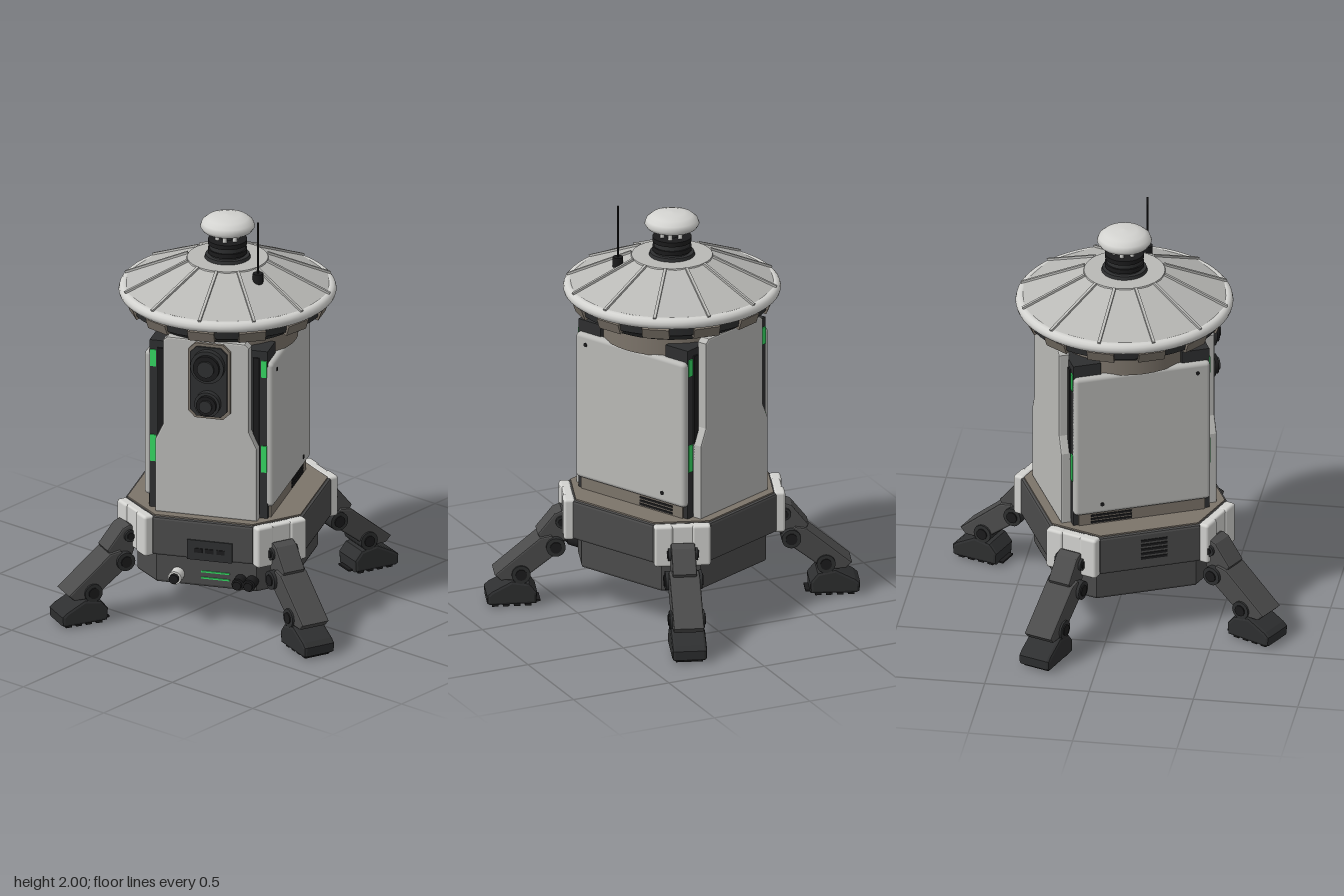
import * as THREE from 'three';
import { RoundedBoxGeometry } from 'three/addons/geometries/RoundedBoxGeometry.js';

const mat = (name, color) => {
  const m = new THREE.MeshStandardMaterial({ color });
  m.name = name;
  return m;
};
const rad = THREE.MathUtils.degToRad;

export function createModel() {
  const shell = mat('shell grey', 0xb9b9b6);
  const trim = mat('light trim', 0xd3d3d0);
  const grey = mat('dark grey', 0x4b4b4b);
  const charcoal = mat('charcoal', 0x2e2f30);
  const black = mat('black', 0x1b1b1c);
  const brown = mat('warm grey', 0x7c746a);
  const green = mat('signal green', 0x35d863);

  const model = new THREE.Group();
  model.name = 'sentryTower';
  const body = new THREE.Group();
  body.name = 'tower';
  body.rotation.y = rad(25);
  body.position.z = 0.012;
  model.add(body);

  const add = (parent, name, geo, material, x = 0, y = 0, z = 0) => {
    const mesh = new THREE.Mesh(geo, material);
    mesh.name = name;
    mesh.position.set(x, y, z);
    parent.add(mesh);
    return mesh;
  };
  const box = (p, name, w, h, d, m, x, y, z) => add(p, name, new THREE.BoxGeometry(w, h, d), m, x, y, z);
  const rbox = (p, name, w, h, d, r, m, x, y, z) => add(p, name, new RoundedBoxGeometry(w, h, d, 2, r), m, x, y, z);
  const cyl = (p, name, rt, rb, h, m, x, y, z, n = 32) => add(p, name, new THREE.CylinderGeometry(rt, rb, h, n), m, x, y, z);
  const extrude = (pts, depth, bevel = 0) => new THREE.ExtrudeGeometry(
    new THREE.Shape(pts.map(([x, y]) => new THREE.Vector2(x, y))),
    { depth, bevelEnabled: bevel > 0, bevelSize: bevel, bevelThickness: bevel, bevelOffset: -bevel, bevelSegments: 2 });
  // Upright prism: a square of half side s, with flat edges of half length h and cut corners
  const prism = (name, s, h, y0, y1, m, bevel = 0) => {
    const pts = [[s, -h], [s, h], [h, s], [-h, s], [-s, h], [-s, -h], [-h, -s], [h, -s]];
    const geo = extrude(pts, y1 - y0 - 2 * bevel, bevel).translate(0, 0, bevel).rotateX(-Math.PI / 2);
    return add(body, name, geo, m, 0, y0, 0);
  };

  // Base
  prism('lowerBase', 0.375, 0.245, 0.195, 0.37, grey, 0.015);
  prism('upperBase', 0.44, 0.245, 0.36, 0.555, grey, 0.012);
  prism('baseDeck', 0.425, 0.24, 0.55, 0.562, brown);
  box(body, 'plinth', 0.6, 0.07, 0.62, brown, 0, 0.59, 0);

  // Base front: socket panel, status lights and knobs
  box(body, 'socketPanel', 0.22, 0.1, 0.012, charcoal, 0.035, 0.41, 0.441);
  for (const i of [-1, 0, 1]) box(body, 'socket', 0.04, 0.022, 0.006, black, 0.035 + i * 0.055, 0.41, 0.448);
  for (const y of [0.243, 0.275]) box(body, 'statusLight', 0.14, 0.008, 0.006, green, 0.045, y, 0.377);
  const knob = (name, x, r, m) => {
    cyl(body, name, r, r, 0.07, m, x, 0.25, 0.4, 20).rotation.x = Math.PI / 2;
    cyl(body, name + 'Tip', r * 0.7, r * 0.7, 0.03, black, x, 0.25, 0.44, 20).rotation.x = Math.PI / 2;
  };
  knob('lightKnob', -0.14, 0.033, trim);
  knob('darkKnob', 0.17, 0.03, black);
  knob('cornerKnob', 0.225, 0.03, black);

  // Vents on the base and plinth
  for (let i = 0; i < 5; i++) box(body, 'baseVent', 0.006, 0.012, 0.13, black, -0.441, 0.42 + i * 0.023, 0.02);
  for (const s of [-1, 1]) {
    for (let i = 0; i < 3; i++) box(body, 'plinthVent', 0.006, 0.01, 0.2, black, s * 0.301, 0.573 + i * 0.017, -0.15);
  }

  // Core column
  cyl(body, 'core', 0.26, 0.26, 0.9, brown, 0, 1.0, 0);
  cyl(body, 'upperDrum', 0.335, 0.335, 0.13, brown, 0, 1.415, 0, 40);

  // Corner pillars with signal strips
  for (const sx of [-1, 1]) {
    for (const sz of [-1, 1]) {
      box(body, 'cornerPillar', 0.17, 0.86, 0.135, charcoal, sx * 0.205, 0.985, sz * 0.2675);
      box(body, 'pillarRib', 0.03, 0.8, 0.012, black, sx * 0.235, 0.98, sz * 0.337);
      for (const [y, h] of [[1.325, 0.085], [0.865, 0.135]]) {
        box(body, 'signalStrip', 0.028, h, 0.008, green, sx * 0.272, y, sz * 0.337);
      }
    }
  }

  // Front and back walls, narrower above the shoulder
  const half = [[0.25, 0.56], [0.25, 0.93], [0.212, 1.01], [0.212, 1.44], [0.19, 1.46]];
  const outline = [...half, ...half.map(([x, y]) => [-x, y]).reverse()];
  for (const [name, turn] of [['frontWall', 0], ['backWall', Math.PI]]) {
    const side = new THREE.Group();
    side.name = name;
    side.rotation.y = turn;
    body.add(side);
    add(side, name + 'Plate', extrude(outline, 0.038, 0.008), shell, 0, 0, 0.338);
  }

  // Side armour panels
  for (const s of [-1, 1]) {
    rbox(body, 'sidePanel', 0.05, 0.735, 0.67, 0.02, shell, s * 0.292, 0.988, 0);
    for (const [y, z] of [[1.305, -0.27], [0.67, 0.2]]) {
      cyl(body, 'panelScrew', 0.01, 0.01, 0.006, black, s * 0.317, y, s * z * -s, 12).rotation.z = Math.PI / 2;
    }
  }

  // Twin-lens camera
  const camera = new THREE.Group();
  camera.name = 'camera';
  camera.position.set(0.02, 1.26, 0.38);
  body.add(camera);
  const plate = (w, h, c) => [[w - c, -h], [w, c - h], [w, h - c], [w - c, h], [c - w, h], [-w, h - c], [-w, c - h], [c - w, -h]];
  add(camera, 'cameraFrame', extrude(plate(0.104, 0.19, 0.035), 0.02), brown);
  add(camera, 'cameraPlate', extrude(plate(0.09, 0.176, 0.03), 0.03), charcoal);
  for (const [y, r] of [[0.085, 0.082], [-0.105, 0.062]]) {
    for (const [k, z, m] of [[1, 0.04, charcoal], [0.78, 0.058, black], [0.5, 0.07, charcoal]]) {
      cyl(camera, 'lens', r * k, r * k, 0.04, m, 0, y, z).rotation.x = Math.PI / 2;
    }
  }

  // Roof: faceted cone, ribs and rim
  const cone = new THREE.CylinderGeometry(0.195, 0.505, 0.135, 12).toNonIndexed();
  cone.computeVertexNormals();
  add(body, 'roof', cone, shell, 0, 1.6675, 0);
  cyl(body, 'roofCap', 0.192, 0.197, 0.012, shell, 0, 1.733, 0, 40);
  const rim = add(body, 'roofRim', new THREE.TorusGeometry(0.488, 0.028, 12, 64), trim, 0, 1.578, 0);
  rim.rotation.x = Math.PI / 2;
  cyl(body, 'eaveDrum', 0.475, 0.465, 0.06, charcoal, 0, 1.535, 0, 48);
  cyl(body, 'eaveCone', 0.465, 0.37, 0.06, charcoal, 0, 1.478, 0, 48);
  for (let i = 0; i < 12; i++) {
    const spoke = new THREE.Group();
    spoke.name = 'roofSpoke';
    spoke.rotation.y = rad(30 * i);
    body.add(spoke);
    box(spoke, 'roofRib', 0.014, 0.016, 0.335, shell, 0, 1.67, 0.348).rotation.x = Math.atan2(0.135, 0.31);
    const clip = box(spoke, 'eaveClip', 0.13, 0.055, 0.022, brown, 0, 1.517, 0.462);
    clip.rotation.x = 0.35;
  }

  // Neck and beacon
  cyl(body, 'neckFlange', 0.105, 0.11, 0.02, charcoal, 0, 1.745, 0);
  cyl(body, 'neck', 0.085, 0.085, 0.08, charcoal, 0, 1.78, 0);
  for (const y of [1.775, 1.82]) cyl(body, 'neckRing', 0.093, 0.093, 0.022, black, 0, y, 0);
  cyl(body, 'beaconStem', 0.028, 0.028, 0.07, charcoal, 0, 1.855, 0);
  for (let i = 0; i < 6; i++) {
    const a = i * Math.PI / 3;
    cyl(body, 'beaconPost', 0.011, 0.011, 0.06, trim, 0.05 * Math.sin(a), 1.855, 0.05 * Math.cos(a), 10);
  }
  const dome = [[0, 1.872], [0.09, 1.872], [0.118, 1.879], [0.13, 1.898], [0.122, 1.92], [0.098, 1.94], [0.06, 1.951], [0, 1.955]];
  add(body, 'beaconDome', new THREE.LatheGeometry(dome.map(([x, y]) => new THREE.Vector2(x, y)), 40), trim);

  // Antenna
  cyl(model, 'antennaBase', 0.025, 0.025, 0.055, black, 0.25, 1.715, 0.083, 16);
  cyl(model, 'antennaRod', 0.0045, 0.0045, 0.27, black, 0.25, 1.865, 0.083, 8);

  // Legs; each profile is drawn as distance from the axis against height
  const across = (p, name, pts, w, m, b = 0.008) => add(p, name, extrude(pts, w - 2 * b, b), m, 0, 0, b - w / 2);
  const hip = [[0.49, 0.46], [0.53, 0.475], [0.565, 0.46], [0.645, 0.36], [0.6, 0.28], [0.535, 0.26], [0.5, 0.36]];
  const shin = [[0.54, 0.31], [0.58, 0.355], [0.635, 0.345], [0.85, 0.165], [0.82, 0.135], [0.72, 0.135], [0.55, 0.265]];
  const foot = [[0.652, 0.015], [0.648, 0.075], [0.685, 0.12], [0.77, 0.135], [0.865, 0.085], [0.888, 0.065], [0.885, 0.02], [0.87, 0.012]];
  for (const [mount, swing] of [[-45, 0], [45, 0], [135, 0], [-135, -6]]) {
    const bracket = new THREE.Group();
    bracket.name = 'legBracket';
    bracket.rotation.y = rad(mount);
    body.add(bracket);
    for (const s of [-1, 1]) rbox(bracket, 'bracketWing', 0.055, 0.205, 0.09, 0.014, trim, 0.5, 0.457, s * 0.09);
    rbox(bracket, 'bracketPlate', 0.045, 0.2, 0.16, 0.01, trim, 0.497, 0.457, 0);

    const leg = new THREE.Group();
    leg.name = 'leg';
    leg.rotation.y = rad(mount + swing);
    body.add(leg);
    across(leg, 'upperLeg', hip, 0.115, grey);
    across(leg, 'shin', shin, 0.145, grey);
    across(leg, 'foot', foot, 0.165, charcoal, 0.014);
    for (const [name, r, y, w, q] of [['hipPin', 0.53, 0.42, 0.14, 0.03], ['kneePin', 0.56, 0.3, 0.175, 0.046], ['anklePin', 0.725, 0.165, 0.165, 0.045]]) {
      cyl(leg, name, q, q, w, charcoal, r, y, 0, 20).rotation.x = Math.PI / 2;
      cyl(leg, name + 'Cap', q * 0.6, q * 0.6, w + 0.012, black, r, y, 0, 16).rotation.x = Math.PI / 2;
    }
    for (let i = 0; i < 4; i++) box(leg, 'footTread', 0.03, 0.016, 0.13, black, 0.69 + i * 0.052, 0.01, 0);
    box(leg, 'heelPlate', 0.05, 0.008, 0.1, black, 0.655, 0.02, 0);
  }
  return model;
}
